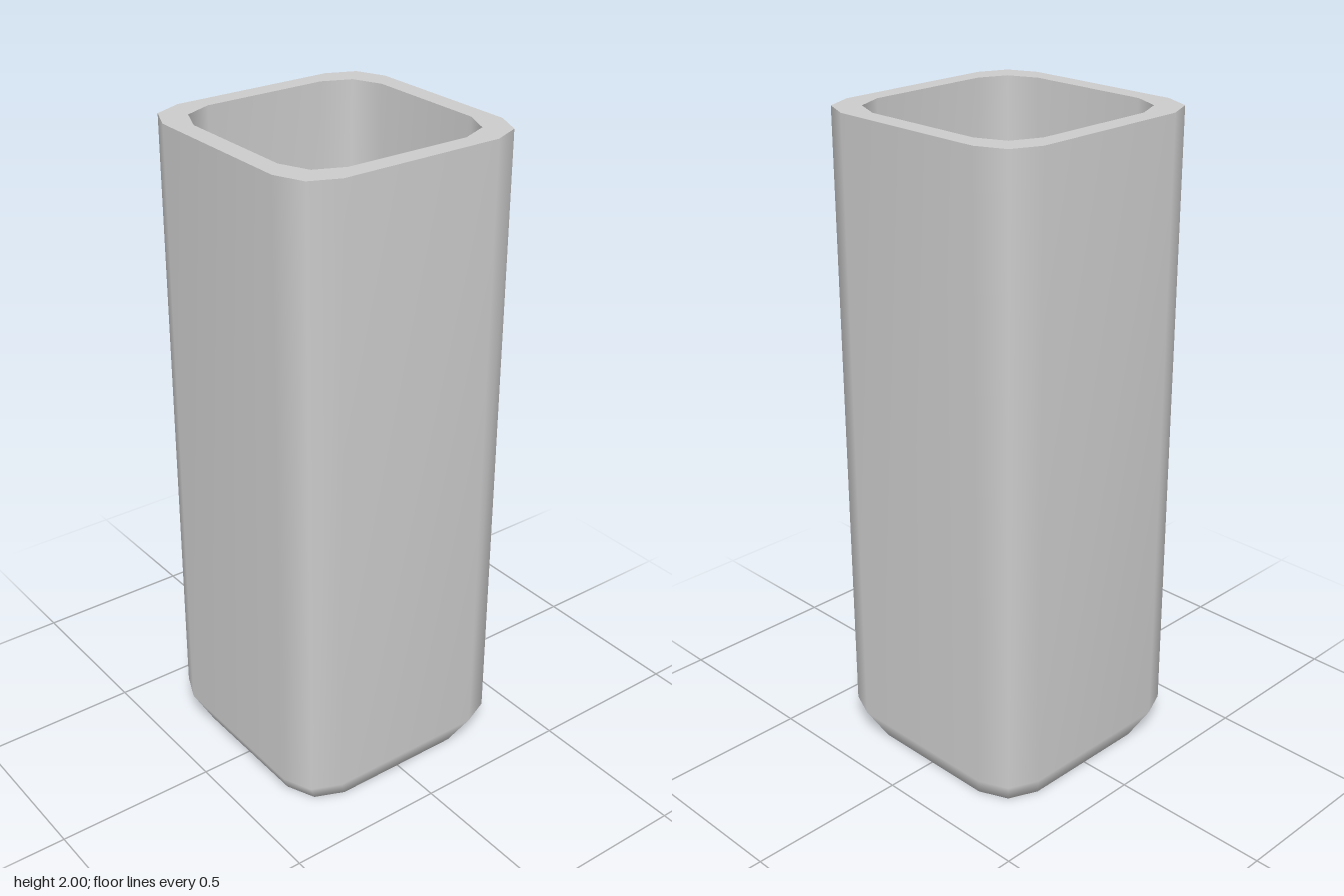
import * as THREE from 'three';

const SIDES = 12;

// Chamfered square ring; inset moves every corner cluster straight inward
function ring(inset, y) {
  const f = 0.254 - inset, m = 0.342 - inset, h = 0.38 - inset;
  const corner = [[h, f], [m, m], [f, h]];
  const points = [];
  for (let q = 0; q < 4; q++) {
    const c = Math.round(Math.cos(q * Math.PI / 2)), s = Math.round(Math.sin(q * Math.PI / 2));
    for (const [x, z] of corner) points.push([x * c - z * s, y, x * s + z * c]);
  }
  return points;
}

// Joins successive rings with quads; optional centre points close the first or last ring
function loft(rings, startY = null, endY = null) {
  const positions = rings.flat(2), index = [];
  for (let r = 0; r < rings.length - 1; r++) {
    for (let i = 0; i < SIDES; i++) {
      const a = r * SIDES + i, b = r * SIDES + (i + 1) % SIDES;
      index.push(a, a + SIDES, b, b, a + SIDES, b + SIDES);
    }
  }
  const cap = (y, first, atStart) => {
    const centre = positions.length / 3;
    positions.push(0, y, 0);
    for (let i = 0; i < SIDES; i++) {
      const a = first + i, b = first + (i + 1) % SIDES;
      index.push(centre, ...(atStart ? [a, b] : [b, a]));
    }
  };
  if (startY !== null) cap(startY, 0, true);
  if (endY !== null) cap(endY, (rings.length - 1) * SIDES, false);
  const geometry = new THREE.BufferGeometry();
  geometry.setAttribute('position', new THREE.Float32BufferAttribute(positions, 3));
  geometry.setIndex(index);
  geometry.computeVertexNormals();
  return geometry;
}

export function createModel() {
  const group = new THREE.Group();
  group.name = 'squareVase';
  const material = new THREE.MeshStandardMaterial({ color: 0xcccccc });
  const add = (name, geometry) => {
    const mesh = new THREE.Mesh(geometry, material);
    mesh.name = name;
    group.add(mesh);
  };

  // Outside walls with a bevelled, closed foot
  add('outerBody', loft([ring(0.045, 0), ring(0, 0.085), ring(0, 2)], 0));

  // Flat top edge
  add('rim', loft([ring(0, 2), ring(0.06, 2)]));

  // Hollow inside, running down to a bevelled floor
  add('innerCavity', loft([ring(0.06, 2), ring(0.06, 0.13), ring(0.1, 0.06)], null, 0.06));

  return group;
}
